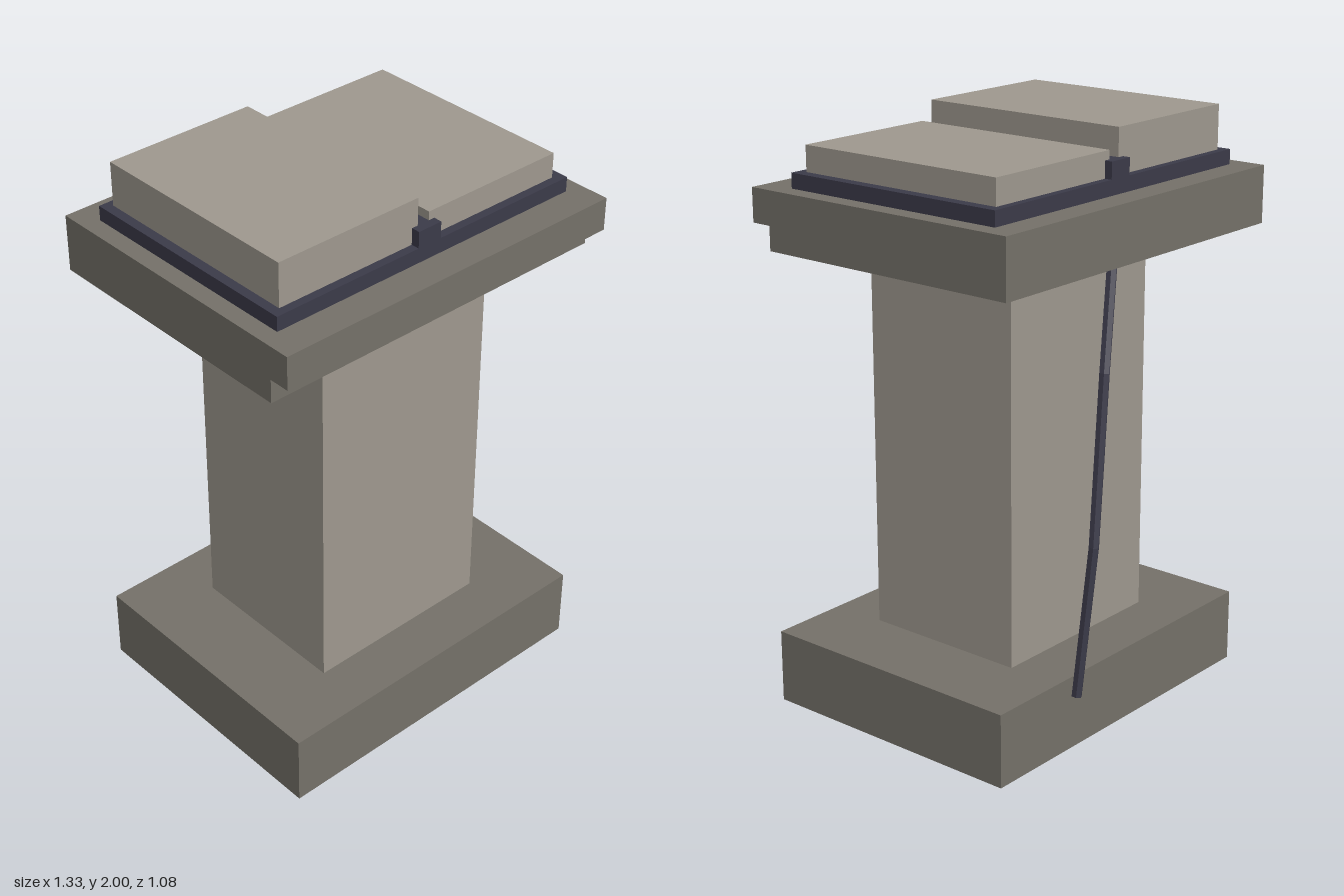
import * as THREE from 'three';

const mat = (name, color) => Object.assign(new THREE.MeshStandardMaterial({ color }), { name });

export function createModel() {
  const group = new THREE.Group();
  const paleStone = mat('paleStone', 0xa09a90);
  const darkStone = mat('darkStone', 0x76726a);
  const darkMetal = mat('darkMetal', 0x3c3b4a);

  const add = (name, geometry, material) => {
    const mesh = new THREE.Mesh(geometry, material);
    mesh.name = name;
    group.add(mesh);
    return mesh;
  };

  // Box given by its limits on each axis
  const block = (name, material, [x0, x1], [y0, y1], [z0, z1]) =>
    add(name, new THREE.BoxGeometry(x1 - x0, y1 - y0, z1 - z0), material)
      .position.set((x0 + x1) / 2, (y0 + y1) / 2, (z0 + z1) / 2);

  // Pedestal
  block('base', darkStone, [-0.63, 0.63], [0, 0.255], [-0.45, 0.53]);
  block('column', paleStone, [-0.348, 0.348], [0.255, 1.6], [-0.257, 0.337]);

  // Table slab with a stepped front edge, extruded across x
  const profile = new THREE.Shape([
    [0.505, 1.6], [0.505, 1.797], [-0.545, 1.797], [-0.545, 1.682], [-0.472, 1.682], [-0.472, 1.6],
  ].map(([x, y]) => new THREE.Vector2(x, y)));
  const slab = new THREE.ExtrudeGeometry(profile, { depth: 1.33, bevelEnabled: false });
  slab.translate(0, 0, -0.665).rotateY(Math.PI / 2);
  add('tableSlab', slab, darkStone);

  // Tray, divider and the two pads at different heights
  block('tray', darkMetal, [-0.602, 0.602], [1.797, 1.848], [-0.41, 0.43]);
  block('divider', darkMetal, [-0.046, 0.046], [1.848, 1.905], [-0.41, 0.43]);
  block('raisedPad', paleStone, [-0.568, -0.023], [1.848, 2.0], [-0.383, 0.4]);
  block('loweredPad', paleStone, [0.023, 0.565], [1.848, 1.935], [-0.383, 0.4]);

  // Cable hanging behind, bending only at its control points
  const cablePath = new THREE.CatmullRomCurve3([
    new THREE.Vector3(0.065, 1.62, -0.433),
    new THREE.Vector3(0.178, 1.27, -0.493),
    new THREE.Vector3(0.255, 0.72, -0.519),
    new THREE.Vector3(0.283, 0.2, -0.478),
  ]);
  cablePath.getPointAt = cablePath.getPoint;
  cablePath.getTangentAt = cablePath.getTangent;
  const cableMaterial = darkMetal;
  cableMaterial.flatShading = true;
  cableMaterial.side = THREE.DoubleSide;
  add('cable', new THREE.TubeGeometry(cablePath, 3, 0.018, 6), cableMaterial);

  return group;
}
